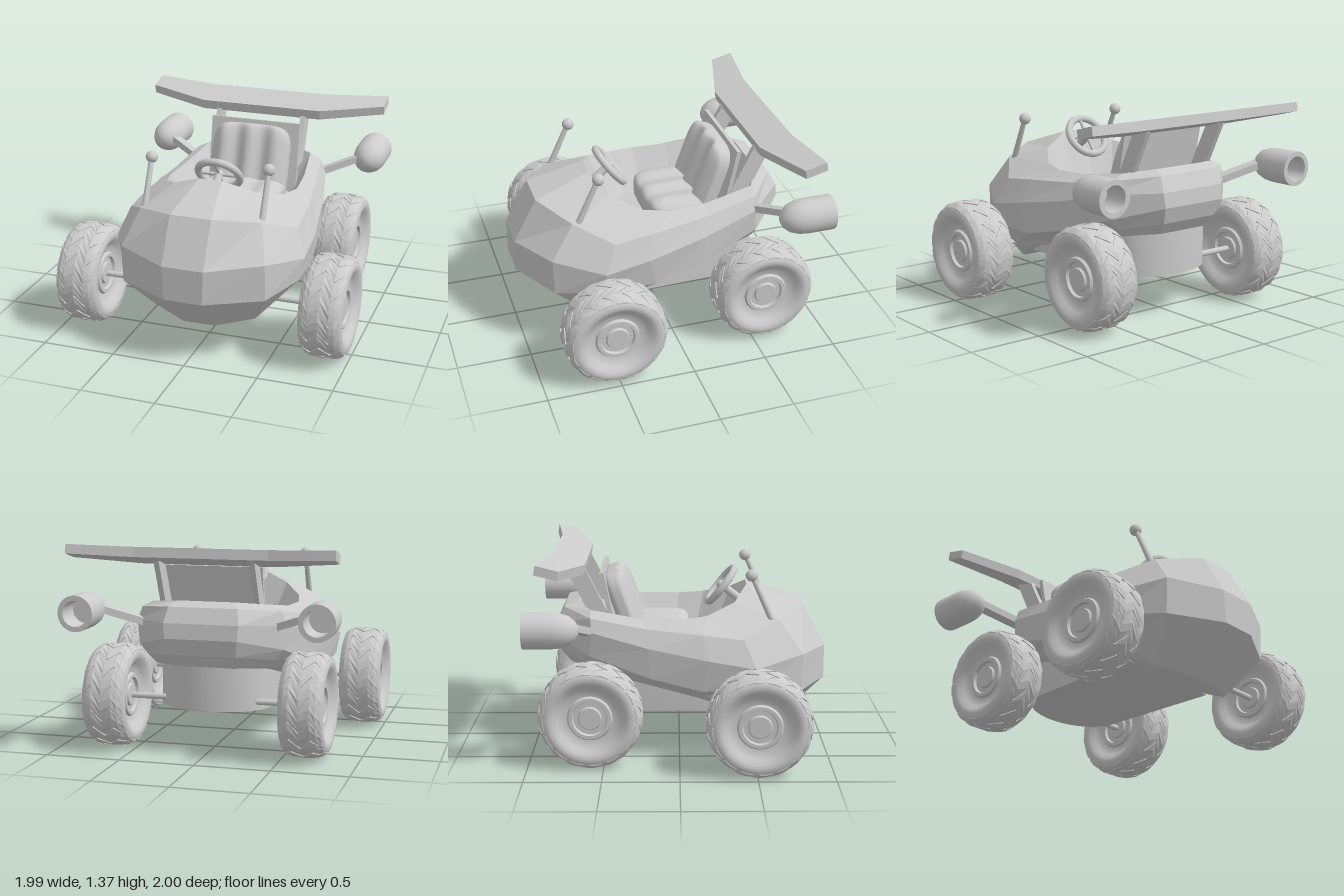
import * as THREE from 'three';
import { toCreasedNormals, mergeGeometries } from 'three/addons/utils/BufferGeometryUtils.js';

const grey = new THREE.MeshStandardMaterial({ color: 0xcccccc });
const twoSided = new THREE.MeshStandardMaterial({ color: 0xcccccc, side: THREE.DoubleSide });
const V = (x, y, z) => new THREE.Vector3(x, y, z);

function add(parent, name, geo, pos = [0, 0, 0], mat = grey) {
  const m = new THREE.Mesh(geo, mat);
  m.name = name;
  m.position.set(...pos);
  parent.add(m);
  return m;
}

// Flat-shaded closed solid through rings of points [x, y, z], capped at both ends.
function loft(rings) {
  const tris = [], n = rings[0].length;
  for (let i = 0; i < rings.length - 1; i++) {
    for (let j = 0; j < n; j++) {
      const k = (j + 1) % n, a = rings[i], b = rings[i + 1];
      tris.push([a[j], a[k], b[k]], [a[j], b[k], b[j]]);
    }
  }
  const cap = (ring, flip) => {
    const c = [0, 1, 2].map(q => ring.reduce((s, p) => s + p[q], 0) / n);
    ring.forEach((p, j) => {
      const r = ring[(j + 1) % n];
      tris.push(flip ? [c, r, p] : [c, p, r]);
    });
  };
  cap(rings[0], true);
  cap(rings[rings.length - 1], false);
  // turn every face outward
  const volume = tris.reduce((s, t) => {
    const [a, b, c] = t.map(p => V(...p));
    return s + a.dot(b.cross(c));
  }, 0);
  if (volume < 0) tris.forEach(t => t.reverse());
  const geo = new THREE.BufferGeometry();
  geo.setAttribute('position', new THREE.Float32BufferAttribute(tris.flat(2), 3));
  geo.computeVertexNormals();
  return geo;
}

// Round bar between two points.
function bar(parent, name, a, b, r, r2 = r) {
  const A = V(...a), B = V(...b), d = B.clone().sub(A);
  const m = add(parent, name, new THREE.CylinderGeometry(r2, r, d.length(), 14));
  m.position.copy(A).lerp(B, 0.5);
  m.quaternion.setFromUnitVectors(V(0, 1, 0), d.normalize());
  return m;
}

// Hull: left half of each ring from nose to stern, mirrored to the right.
function hull() {
  const halves = [
    // belly
    [[.11, .17, .7], [.35, .21, .58], [.47, .33, .36], [.45, .4, .12], [.41, .49, -.25], [.38, .57, -.57], [.19, .59, -.74]],
    // keel
    [[.11, .175, .71], [.36, .215, .6], [.52, .36, .42], [.5, .43, .15], [.48, .53, -.25], [.43, .63, -.6], [.22, .67, -.8]],
    // chine
    [[.13, .46, 1], [.49, .46, .81], [.63, .5, .52], [.62, .49, .15], [.58, .57, -.2], [.49, .7, -.6], [.24, .78, -.84]],
    // shoulder
    [[.14, .69, 1], [.49, .71, .82], [.66, .65, .5], [.65, .7, .2], [.59, .77, -.2], [.51, .86, -.58], [.25, .88, -.83]],
    // deck edge
    [[.14, .985, .84], [.42, .93, .66], [.59, .83, .42], [.58, .86, .15], [.53, .89, -.22], [.47, .95, -.59], [.23, .98, -.78]],
    // cockpit rim
    [[.08, 1.105, .46], [.29, 1.02, .37], [.42, .955, .18], [.46, .935, 0], [.44, .94, -.25], [.39, .99, -.59], [.19, 1.01, -.69]],
    // cockpit floor
    [[.08, .66, .26], [.18, .66, .22], [.27, .66, .11], [.3, .66, -.03], [.29, .67, -.25], [.27, .7, -.5], [.14, .72, -.57]],
  ];
  return loft(halves.map(h => [...h, ...h.map(([x, y, z]) => [-x, y, z]).reverse()]));
}

// Flat-bottomed tub with a rounded stern, under the hull.
function tub() {
  const s = new THREE.Shape();
  s.moveTo(-.4, -.4);
  s.lineTo(.4, -.4);
  s.lineTo(.37, .48);
  s.bezierCurveTo(.34, .64, .16, .72, 0, .72);
  s.bezierCurveTo(-.16, .72, -.34, .64, -.37, .48);
  s.closePath();
  const geo = new THREE.ExtrudeGeometry(s, { depth: .31, bevelEnabled: false, curveSegments: 10 });
  geo.rotateX(-Math.PI / 2);
  return toCreasedNormals(geo, .6);
}

// Soft rounded block with three shallow channels on its +z face.
function pad(w, h, d, ridge) {
  const geo = new THREE.SphereGeometry(1, 64, 40);
  const p = geo.attributes.position, v = V(0, 0, 0), n = 5;
  for (let i = 0; i < p.count; i++) {
    v.fromBufferAttribute(p, i);
    v.divideScalar((Math.abs(v.x) ** n + Math.abs(v.y) ** n + Math.abs(v.z) ** n) ** (1 / n));
    const bulge = Math.max(v.z, 0) * ridge * Math.cos(v.x * Math.PI * 3);
    p.setXYZ(i, v.x * w / 2, v.y * h / 2, v.z * d / 2 + bulge);
  }
  geo.computeVertexNormals();
  return geo;
}

// Tyre and hub profile, mirrored about the wheel's middle plane.
function tyre() {
  const side = [[0, .1], [.07, .1], [.078, .085], [.108, .085], [.115, .105], [.138, .105], [.148, .088],
    [.18, .092], [.21, .112], [.24, .137], [.265, .146], [.29, .143], [.312, .13], [.328, .103], [.334, .05]];
  const pts = [...side.map(([r, x]) => [r, -x]), ...side.slice().reverse()].map(p => new THREE.Vector2(...p));
  return toCreasedNormals(new THREE.LatheGeometry(pts, 48).rotateZ(-Math.PI / 2), .6);
}

// Zigzag tread ribs around the tyre.
function tread() {
  const path = [[-.137, .307, -1], [-.105, .332, 0], [-.07, .341, 1], [0, .343, -1], [.07, .341, 1], [.105, .332, 0], [.137, .307, -1]];
  const ribs = [], count = 16;
  for (let i = 0; i < count; i++) {
    ribs.push(loft(path.map(([x, r, zig]) => {
      const mid = i / count * Math.PI * 2 + zig * .12;
      return [[-.155, r - .03], [-.15, r], [0, r + .003], [.15, r], [.155, r - .03]].map(([a, q]) =>
        [x, q * Math.cos(mid + a), q * Math.sin(mid + a)]);
    })));
  }
  return mergeGeometries(ribs);
}

export function createModel() {
  const g = new THREE.Group();
  g.name = 'buggy';
  add(g, 'hull', hull(), [0, 0, 0], twoSided);
  add(g, 'lowerTub', tub(), [0, .29, 0]);

  // Wheels and axles
  const tyreGeo = tyre(), treadGeo = tread();
  for (const [end, x, z] of [['front', .847, .51], ['rear', .654, -.585]]) {
    for (const s of [1, -1]) {
      const wheel = new THREE.Group();
      wheel.name = end + 'Wheel';
      wheel.position.set(s * x, .347, z);
      add(wheel, 'tyre', tyreGeo);
      add(wheel, 'tread', treadGeo);
      g.add(wheel);
    }
    bar(g, end + 'Axle', [-x, .345, z], [x, .345, z], .02);
  }

  // Seat: channelled cushion and leaning backrest, with a thin panel behind
  add(g, 'seatCushion', pad(.58, .5, .2, .012), [0, .77, -.18]).rotation.x = -Math.PI / 2;
  add(g, 'seatBack', pad(.57, .6, .15, .022), [0, .93, -.36]).rotation.x = -.34;
  add(g, 'seatPanel', new THREE.BoxGeometry(.66, .46, .03), [0, 1, -.475]).rotation.x = -.2;

  // Steering wheel tilted toward the driver
  const steer = new THREE.Group();
  steer.name = 'steeringWheel';
  steer.position.set(0, 1.085, .29);
  steer.rotation.x = .66;
  add(steer, 'steeringRim', new THREE.TorusGeometry(.145, .025, 12, 36));
  for (let i = 0; i < 4; i++) {
    const a = i * Math.PI / 2;
    bar(steer, 'spoke', [0, 0, 0], [.145 * Math.cos(a), .145 * Math.sin(a), 0], .012);
  }
  add(steer, 'steeringHub', new THREE.SphereGeometry(.032, 14, 10));
  bar(steer, 'steeringColumn', [0, 0, 0], [0, 0, .22], .028);
  g.add(steer);

  // Rear wing: four cross-sections from tip to tip
  const wingSection = (x, z0, y0, z1, y1, t) => [[x, y0, z0], [x, y0 + t, z0 + .01], [x, y1 + t, z1], [x, y1, z1 - .01]];
  const tip = [-.765, 1.28, -.9, 1.318, .06], mid = [-.63, 1.237, -.84, 1.3, .065];
  add(g, 'wing', loft([wingSection(-.88, ...tip), wingSection(-.44, ...mid), wingSection(.44, ...mid), wingSection(.88, ...tip)]));

  // Exhaust pod with a rounded nose and an open back
  const podProfile = [[0, 0], [.085, 0], [.085, -.18], [.118, -.18], [.118, 0], [.112, .06], [.094, .115], [.062, .155], [.03, .173], [0, .18]];
  const podGeo = toCreasedNormals(
    new THREE.LatheGeometry(podProfile.map(p => new THREE.Vector2(...p)), 32).rotateX(Math.PI / 2), .6);

  for (const s of [1, -1]) {
    // Wing support plates
    add(g, 'wingSupport', loft([.3, .335].map(x =>
      [[s * x, .92, -.46], [s * x, .92, -.59], [s * x, 1.27, -.76], [s * x, 1.25, -.625]])));
    // Pods on flat arms
    add(g, 'exhaustPod', podGeo, [s * .785, .942, -.82], twoSided);
    add(g, 'podArm', loft([[.42, .84, -.58], [.74, .955, -.73]].map(([x, y, z]) =>
      [[s * x, y - .025, z + .04], [s * x, y + .025, z + .04], [s * x, y + .025, z - .04], [s * x, y - .025, z - .04]])));
    // Front marker poles
    bar(g, 'markerPole', [s * .405, .89, .63], [s * .405, 1.22, .48], .022, .017);
    add(g, 'markerBall', new THREE.SphereGeometry(.041, 18, 12), [s * .405, 1.225, .476]);
  }
  return g;
}
